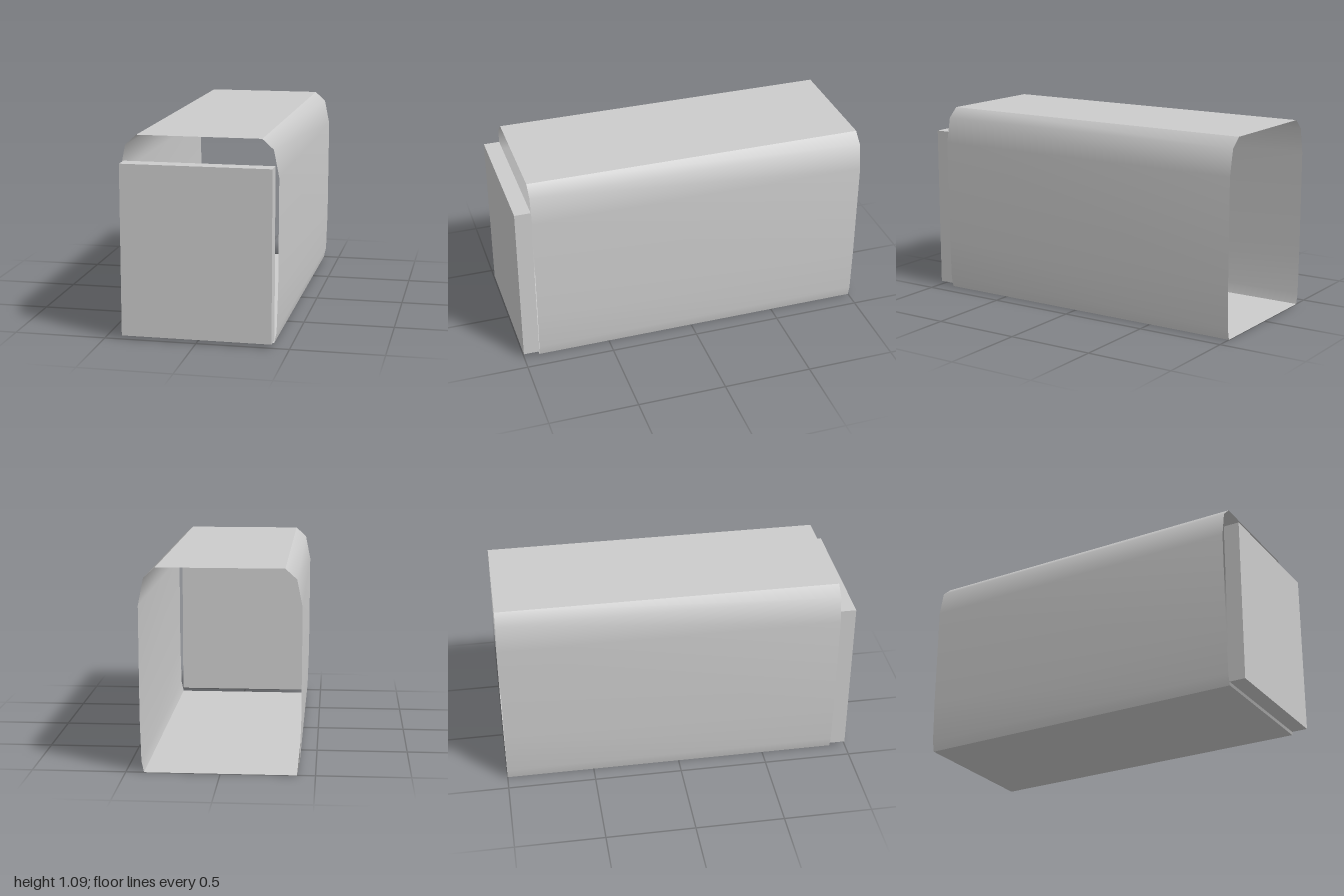
import * as THREE from 'three';

const BACK = -1, RIM = 0.91, FRONT = 1;

// Sweeps an open x/y profile along z into a smooth, thin sheet.
function sheet(profile) {
  const pos = [], index = [];
  profile.forEach(([x, y], i) => {
    pos.push(x, y, BACK, x, y, RIM);
    if (i > 0) {
      const a = 2 * (i - 1);
      index.push(a, a + 1, a + 2, a + 1, a + 3, a + 2);
    }
  });
  const geo = new THREE.BufferGeometry();
  geo.setAttribute('position', new THREE.Float32BufferAttribute(pos, 3));
  geo.setIndex(index);
  geo.computeVertexNormals();
  return geo;
}

export function createModel() {
  const group = new THREE.Group();
  const grey = new THREE.MeshStandardMaterial({ color: 0xcccccc, side: THREE.DoubleSide });
  grey.name = 'light grey';

  const add = (name, geo) => {
    const mesh = new THREE.Mesh(geo, grey);
    mesh.name = name;
    group.add(mesh);
    return mesh;
  };

  // Side wall profile, from the floor corner up to the roof corner
  const wall = [
    [0.403, 0], [0.416, 0.06], [0.423, 0.3], [0.425, 0.89], [0.396, 1.035], [0.335, 1.09],
  ];
  const mirrored = wall.map(([x, y]) => [-x, y]).reverse();

  // Open sleeve: creased where the walls meet the roof and the floor
  add('leftWall', sheet(wall.slice().reverse()));
  add('rightWall', sheet(mirrored.slice().reverse()));
  add('roof', sheet([[-0.335, 1.09], [0.335, 1.09]]));
  add('floor', sheet([[0.403, 0], [-0.403, 0]]));

  // The walls face outward
  for (const name of ['leftWall', 'rightWall', 'roof', 'floor']) {
    const mesh = group.getObjectByName(name);
    const n = mesh.geometry.attributes.normal, p = mesh.geometry.attributes.position;
    const out = n.getX(2) * p.getX(2) + n.getY(2) * (p.getY(2) - 0.5);
    if (out < 0) {
      mesh.geometry.index.array.reverse();
      mesh.geometry.computeVertexNormals();
    }
  }

  // Front panel standing on the sleeve's front rim
  const panel = add('frontPanel', new THREE.BoxGeometry(0.81, 0.93, FRONT - RIM));
  panel.position.set(0, 0.485, (FRONT + RIM) / 2);

  return group;
}
